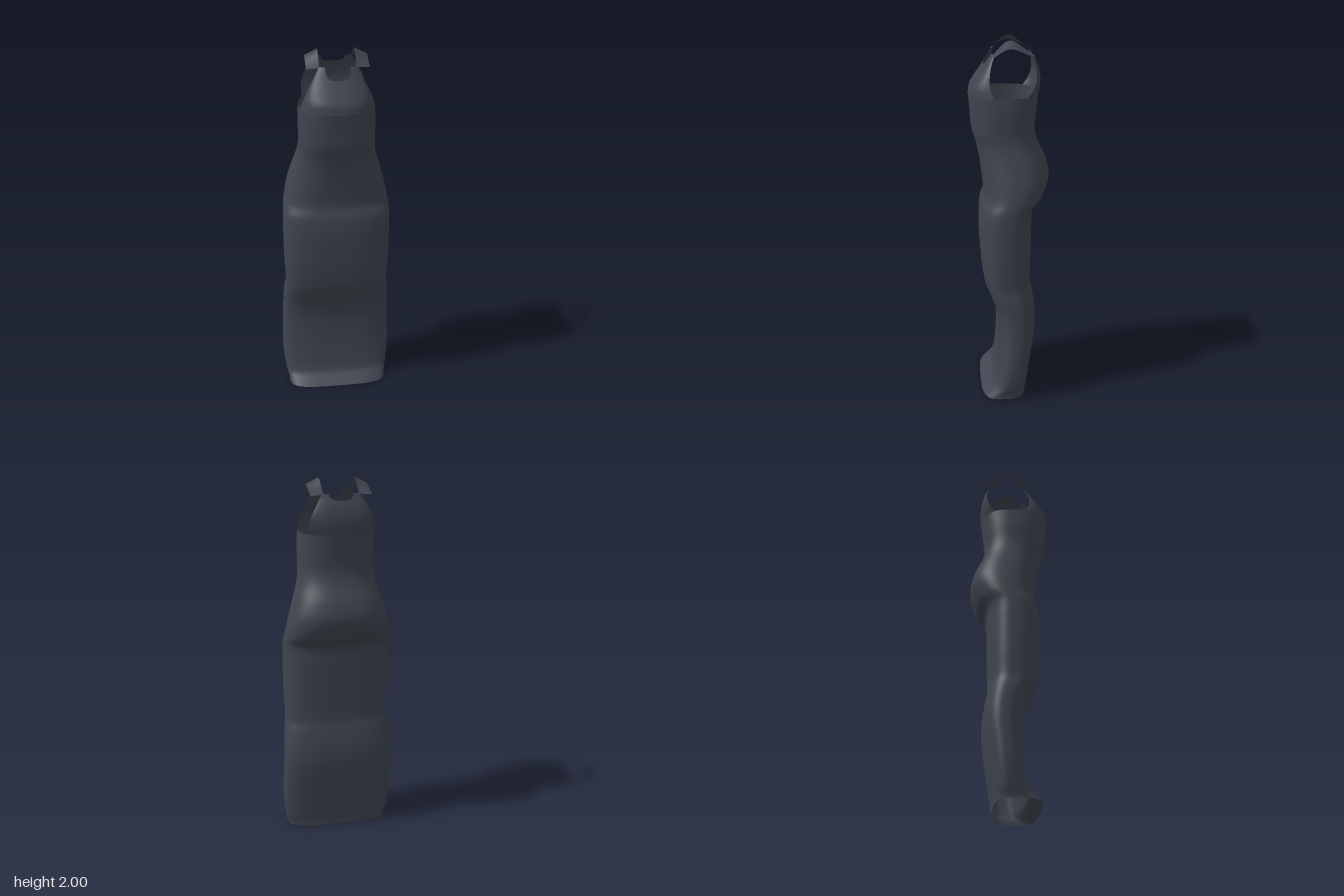
import * as THREE from 'three';

const fabric = new THREE.MeshStandardMaterial({ color: 0x3f444e, side: THREE.DoubleSide });
fabric.name = 'slate fabric';

// Smooth lookup: rows are [y, a, b, ...], returns the values interpolated at y
function lookup(rows, y) {
  let i = 0;
  while (i < rows.length - 2 && y > rows[i + 1][0]) i++;
  const p = rows[i], q = rows[i + 1];
  const o = rows[Math.max(i - 1, 0)], r = rows[Math.min(i + 2, rows.length - 1)];
  const h = q[0] - p[0], t = THREE.MathUtils.clamp((y - p[0]) / h, 0, 1);
  const t2 = t * t, t3 = t2 * t;
  return p.slice(1).map((v, k) => {
    k += 1;
    const m0 = h * (q[k] - o[k]) / (q[0] - o[0]);
    const m1 = h * (r[k] - p[k]) / (r[0] - p[0]);
    return v * (2 * t3 - 3 * t2 + 1) + m0 * (t3 - 2 * t2 + t) + q[k] * (3 * t2 - 2 * t3) + m1 * (t3 - t2);
  });
}

// Sheet of rows x cols quads from point(u, v); closed wraps the columns
function sheet(name, rows, cols, point, closed = false) {
  const pos = [], index = [], n = closed ? cols : cols + 1;
  for (let i = 0; i <= rows; i++)
    for (let j = 0; j < n; j++) pos.push(...point(j / cols, i / rows));
  for (let i = 0; i < rows; i++)
    for (let j = 0; j < cols; j++) {
      const k = (j + 1) % n;
      const a = i * n + j, b = i * n + k, c = a + n, d = b + n;
      index.push(a, c, b, b, c, d);
    }
  const g = new THREE.BufferGeometry();
  g.setAttribute('position', new THREE.Float32BufferAttribute(pos, 3));
  g.setIndex(index);
  g.computeVertexNormals();
  const mesh = new THREE.Mesh(g, fabric);
  mesh.name = name;
  return mesh;
}

// Unit superellipse point at angle phi
function oval(phi, n) {
  const c = Math.cos(phi), s = Math.sin(phi);
  const r = Math.pow(Math.abs(c) ** n + Math.abs(s) ** n, -1 / n);
  return [c * r, s * r];
}

// Dress tube: y, half width, front z, back z, squareness
const BODY = [
  [0, 0.285, 0.168, -0.085, 3.6],
  [0.025, 0.287, 0.14, -0.086, 3.6],
  [0.06, 0.298, 0.1, -0.09, 3.4],
  [0.2, 0.312, 0.076, -0.112, 3],
  [0.4, 0.308, 0.07, -0.14, 2.9],
  [0.5, 0.303, 0.085, -0.14, 2.9],
  [0.6, 0.297, 0.12, -0.125, 3],
  [0.66, 0.288, 0.143, -0.113, 3],
  [0.8, 0.294, 0.16, -0.115, 3],
  [1.0, 0.296, 0.168, -0.12, 2.9],
  [1.1, 0.294, 0.16, -0.128, 2.8],
  [1.16, 0.287, 0.143, -0.178, 2.6],
  [1.26, 0.267, 0.15, -0.215, 2.5],
  [1.35, 0.24, 0.162, -0.2, 2.5],
  [1.45, 0.211, 0.182, -0.155, 2.5],
  [1.52, 0.203, 0.203, -0.138, 2.6],
  [1.62, 0.205, 0.212, -0.145, 2.6],
  [1.715, 0.2, 0.22, -0.157, 2.6],
];

// Bodice panels: y, edge half width, middle z, armhole edge z
const FRONT = [
  [1.715, 0.197, 0.22, 0.086],
  [1.76, 0.182, 0.21, 0.107],
  [1.81, 0.162, 0.178, 0.11],
  [1.87, 0.13, 0.137, 0.1],
  [1.93, 0.097, 0.1, 0.078],
];
const BACK = [
  [1.715, 0.172, -0.157, -0.09],
  [1.76, 0.172, -0.164, -0.12],
  [1.81, 0.164, -0.164, -0.135],
  [1.87, 0.135, -0.15, -0.13],
  [1.93, 0.1, -0.12, -0.115],
];

// Upper panel that continues the tube up to a scooped neckline
function panel(name, rows, start, phi0, scoop) {
  const [ex, ez] = oval(phi0, 2.6);
  return sheet(name, 28, 72, (u, v) => {
    const phi = start + phi0 + u * (Math.PI - 2 * phi0);
    const [cx, cz] = oval(phi, 2.6);
    const across = Math.min(1, Math.abs(cx / ex) / 0.66);
    const top = 1.93 - scoop * (1 - across ** 4);
    const y = 1.715 + v * (top - 1.715);
    const [w, mid, edge] = lookup(rows, y);
    const centre = (edge - ez * mid) / (1 - ez);
    return [w * cx / ex, y, centre + (mid - centre) * Math.abs(cz)];
  });
}

// Shoulder strap: z, inner edge y, outer edge y
const STRAP = [
  [-0.125, 1.926, 1.922],
  [-0.07, 1.964, 1.945],
  [-0.025, 1.995, 1.963],
  [0, 2, 1.966],
  [0.025, 1.992, 1.962],
  [0.055, 1.965, 1.945],
  [0.09, 1.926, 1.922],
];

function strap(name, side) {
  return sheet(name, 24, 6, (u, v) => {
    const k = side > 0 ? u : 1 - u;
    const z = -0.125 + v * 0.215;
    const [inner, outer] = lookup(STRAP, z);
    return [side * (0.096 + 0.068 * k), inner + (outer - inner) * k, z];
  });
}

export function createModel() {
  const dress = new THREE.Group();
  dress.name = 'longDress';

  // Skirt and waist, open at hem and underarm
  dress.add(sheet('skirtAndWaist', 120, 96, (u, v) => {
    const y = v * 1.715;
    const [w, front, back, n] = lookup(BODY, y);
    const [cx, cz] = oval(u * Math.PI * 2, n);
    return [w * cx, y, (front + back) / 2 + (front - back) / 2 * cz];
  }, true));

  // Bodice
  dress.add(panel('frontBodice', FRONT, 0, 0.287, 0.06));
  dress.add(panel('backBodice', BACK, Math.PI, 0.647, 0.035));

  // Straps
  dress.add(strap('leftStrap', 1), strap('rightStrap', -1));
  return dress;
}
